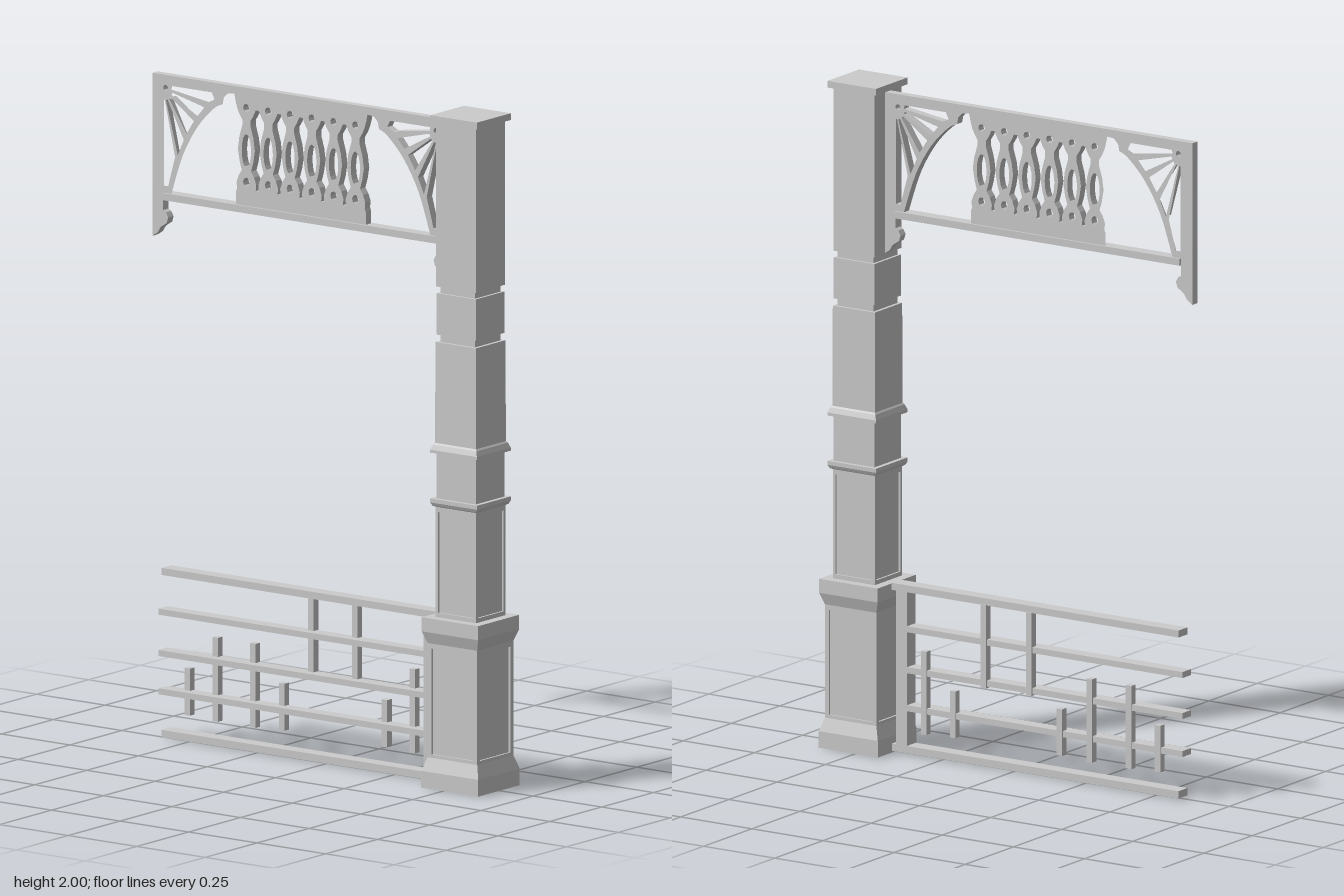
import * as THREE from 'three';

const mat = new THREE.MeshStandardMaterial({ color: 0xcccccc, flatShading: true });

function add(group, name, geometry) {
  const mesh = new THREE.Mesh(geometry, mat);
  mesh.name = name;
  group.add(mesh);
  return mesh;
}

// Box given by its extents along x, y and z
function block(group, name, x0, x1, y0, y1, z0, z1) {
  const mesh = add(group, name, new THREE.BoxGeometry(x1 - x0, y1 - y0, z1 - z0));
  mesh.position.set((x0 + x1) / 2, (y0 + y1) / 2, (z0 + z1) / 2);
}

// Square column from a profile of [half width, height]
function squareColumn(group, name, profile) {
  const pts = profile.map(([w, y]) => new THREE.Vector2(w * Math.SQRT2, y));
  const geo = new THREE.LatheGeometry(pts, 4, Math.PI / 4).toNonIndexed();
  geo.computeVertexNormals();
  add(group, name, geo);
}

// Corner strips that frame the recessed panels on all four faces
function cornerStiles(group, name, half, width, y0, y1) {
  for (const sx of [-1, 1]) for (const sz of [-1, 1]) {
    const a = half - width;
    block(group, name, sx > 0 ? a : -half, sx > 0 ? half : -a, y0, y1,
      sz > 0 ? a : -half, sz > 0 ? half : -a);
  }
}

function buildPost() {
  const post = new THREE.Group();
  post.name = 'post';
  squareColumn(post, 'pedestal', [
    [0, 0], [0.1, 0], [0.1, 0.05], [0.087, 0.09], [0.087, 0.1], [0.081, 0.1], [0.081, 0.415],
    [0.087, 0.415], [0.087, 0.43], [0.099, 0.465], [0.099, 0.507], [0, 0.507]]);
  cornerStiles(post, 'pedestalStile', 0.087, 0.014, 0.1, 0.415);
  squareColumn(post, 'shaft', [
    [0.071, 0.5], [0.071, 0.52], [0.065, 0.52], [0.065, 0.82], [0.071, 0.82], [0.071, 0.835],
    [0.077, 0.838], [0.082, 0.848], [0.082, 0.86], [0.069, 0.86], [0.069, 0.993], [0.082, 0.996],
    [0.082, 1.005], [0.076, 1.02], [0.072, 1.025], [0.071, 1.325], [0.061, 1.325], [0.061, 1.347],
    [0.069, 1.347], [0.069, 1.47], [0.061, 1.47], [0.061, 1.49], [0.07, 1.49], [0.07, 1.98],
    [0.082, 1.98], [0.082, 2], [0, 2]]);
  cornerStiles(post, 'shaftStile', 0.071, 0.009, 0.52, 0.82);
  post.scale.z = 1.04;
  post.position.set(-0.003, 0, 0.524);
  return post;
}

function buildRailing() {
  const railing = new THREE.Group();
  railing.name = 'railing';
  const w = 0.023;
  block(railing, 'topRail', -w, w, 0.488, 0.509, -0.587, 0.425);
  block(railing, 'bottomRail', -w, w, 0.005, 0.027, -0.587, 0.425);
  block(railing, 'railEndPost', -w, w, 0.027, 0.488, 0.368, 0.406);
  for (const y of [0.377, 0.254, 0.14]) {
    block(railing, 'middleRail', -0.022, 0.022, y - 0.009, y + 0.009, -0.6, 0.368);
  }
  // Balusters in three lengths: [z, bottom, top]
  const bars = [
    [0.307, 0.07, 0.32], [0.205, 0.075, 0.215], [0.097, 0.24, 0.49], [-0.063, 0.24, 0.49],
    [-0.17, 0.075, 0.215], [-0.275, 0.07, 0.32], [-0.413, 0.07, 0.32], [-0.515, 0.075, 0.215]];
  for (const [z, y0, y1] of bars) {
    block(railing, 'baluster', 0.004, 0.026, y0, y1, z - 0.01, z + 0.01);
  }
  return railing;
}

const vecs = (pts) => pts.map(([x, y]) => new THREE.Vector2(x, y));
const polygon = (pts) => new THREE.Path(vecs(pts));
const oval = (x, y, rx, ry, n = 16) => polygon(Array.from({ length: n }, (_, i) => {
  const a = i / n * Math.PI * 2;
  return [x + rx * Math.cos(a), y + ry * Math.sin(a)];
}));

// Pierced frieze: coordinates are distance from its centre line and height
function buildFrieze() {
  const frieze = new THREE.Group();
  frieze.name = 'frieze';
  const foot = [[0.542, 1.49], [0.522, 1.503], [0.512, 1.52], [0.489, 1.535], [0.484, 1.552],
    [0.492, 1.566], [0.502, 1.572], [0.502, 1.605]];
  const mirror = (pts) => pts.map(([x, y]) => [-x, y]);
  const outline = [[0.542, 1.975], ...foot, ...mirror(foot).reverse(), [-0.542, 1.975]];
  const shape = new THREE.Shape(vecs(outline));

  // Half outline of a turned baluster: [half width, height]
  const vase = [[0.034, 1.672], [0.036, 1.69], [0.028, 1.712], [0.017, 1.728], [0.025, 1.755],
    [0.031, 1.79], [0.026, 1.825], [0.015, 1.862], [0.015, 1.878], [0.025, 1.893], [0.034, 1.912]];
  const pitch = 0.0795;
  for (let i = 0; i < 6; i++) {
    const c = (i - 2.5) * pitch;
    shape.holes.push(oval(c, 1.787, 0.017, 0.05));
    shape.holes.push(oval(c, 1.915, 0.012, 0.012, 8));
    shape.holes.push(oval(c, 1.694, 0.012, 0.014, 8));
    // Gap between this baluster and the next
    if (i < 5) {
      const right = vase.map(([w, y]) => [c + pitch - w, y]);
      const left = vase.map(([w, y]) => [c + w, y]).reverse();
      shape.holes.push(polygon([...right, ...left]));
    }
  }

  // Arched openings and sunburst corners, mirrored
  const arch = new THREE.SplineCurve(vecs([[0.472, 1.624], [0.43, 1.745], [0.375, 1.838],
    [0.317, 1.898], [0.285, 1.915]])).getPoints(16).map((p) => [p.x, p.y]);
  const edge = vase.map(([w, y]) => [2.5 * pitch + w, y]).reverse();
  const opening = [...arch, [0.281, 1.935], [0.266, 1.95], [0.243, 1.953], [0.238, 1.93],
    ...edge, [0.237, 1.66], [0.237, 1.624]];
  const rays = [
    [[0.472, 1.934], [0.47, 1.945], [0.325, 1.945], [0.315, 1.925], [0.335, 1.915]],
    [[0.472, 1.918], [0.468, 1.925], [0.352, 1.897], [0.377, 1.868]],
    [[0.48, 1.905], [0.475, 1.911], [0.39, 1.851], [0.417, 1.81]],
    [[0.492, 1.9], [0.486, 1.903], [0.427, 1.79], [0.449, 1.742]],
    [[0.5, 1.9], [0.496, 1.9], [0.459, 1.735], [0.484, 1.645], [0.5, 1.645]]];
  for (const flip of [(p) => p, mirror]) {
    for (const hole of [opening, ...rays]) shape.holes.push(polygon(flip(hole)));
    shape.holes.push(oval(flip([[0.493, 1.936]])[0][0], 1.936, 0.009, 0.009, 10));
  }

  const depth = 0.026;
  const geo = new THREE.ExtrudeGeometry(shape, { depth, bevelEnabled: false });
  geo.translate(0, 0, -depth / 2);
  geo.rotateY(-Math.PI / 2);
  add(frieze, 'fretworkPanel', geo);
  block(frieze, 'friezeBottomRail', -0.02, 0.02, 1.603, 1.624, -0.502, 0.502);
  frieze.position.z = -0.087;
  return frieze;
}

export function createModel() {
  const model = new THREE.Group();
  model.name = 'porchPostWithRailing';
  model.add(buildPost(), buildRailing(), buildFrieze());
  return model;
}
